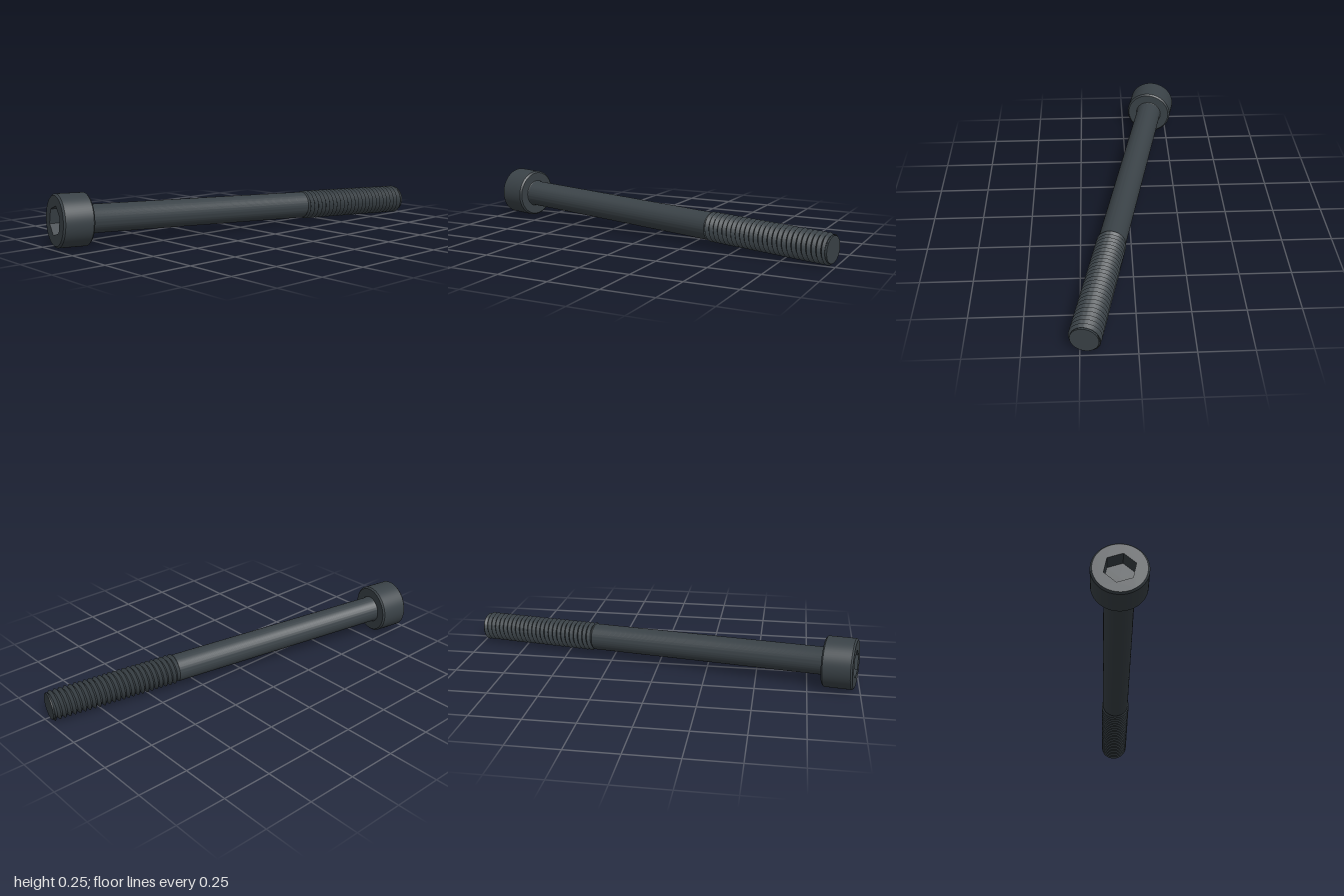
import * as THREE from 'three';
import { toCreasedNormals } from 'three/addons/utils/BufferGeometryUtils.js';

const LENGTH = 2.002;      // socket face to tip, along the bolt axis
const HEAD_R = 0.1235, HEAD_H = 0.148, BEVEL = 0.008;
const SHANK_R = 0.0675, THREAD_START = 1.353;
const CREST_R = 0.0735, ROOT_R = 0.0585, TIP_R = 0.0635, PITCH = 0.0247;
const HEX_R = 0.0713, HEX_DEPTH = 0.074;

// Turned part from [radius, height] pairs, with crisp edges
function turned(points) {
  const profile = points.map(([r, y]) => new THREE.Vector2(r, y));
  return toCreasedNormals(new THREE.LatheGeometry(profile, 72), 0.5);
}

// Right-handed V thread: a cylinder sheared into a helix, alternate rows in and out
function threadGeometry(start, end) {
  const turns = Math.ceil((end - start) / PITCH) + 1;
  const geo = new THREE.CylinderGeometry(1, 1, 1, 64, turns * 2, true);
  const pos = geo.attributes.position, uv = geo.attributes.uv;
  for (let i = 0; i < pos.count; i++) {
    const u = uv.getX(i), v = uv.getY(i);
    const y = THREE.MathUtils.clamp(start + (v * turns - 1 + u) * PITCH, start, end);
    const phase = (y - start) / PITCH - u;
    const wave = 2 * Math.abs(phase - Math.round(phase));
    const r = Math.min(ROOT_R + (CREST_R - ROOT_R) * wave,
      SHANK_R + (y - start),            // run-out at the shank
      TIP_R + (LENGTH - y));            // chamfer at the tip
    pos.setXYZ(i, pos.getX(i) * r, y, pos.getZ(i) * r);
  }
  return toCreasedNormals(geo, 0.6);
}

export function createModel() {
  const model = new THREE.Group();
  model.name = 'socketHeadBolt';
  const steel = new THREE.MeshStandardMaterial({ color: 0x3a4247, side: THREE.DoubleSide });
  steel.name = 'blackSteel';

  const bolt = new THREE.Group();
  bolt.name = 'bolt';
  const add = (name, geometry) => {
    const mesh = new THREE.Mesh(geometry, steel);
    mesh.name = name;
    bolt.add(mesh);
    return mesh;
  };

  // Head: bevelled side wall and bearing face
  add('head', turned([
    [HEAD_R - BEVEL, 0], [HEAD_R, BEVEL], [HEAD_R, HEAD_H - BEVEL],
    [HEAD_R - BEVEL, HEAD_H], [SHANK_R, HEAD_H],
  ]));

  // Socket face: disc with a hexagonal opening
  const disc = new THREE.Shape().absarc(0, 0, HEAD_R - BEVEL, 0, Math.PI * 2);
  const hex = [];
  for (let i = 0; i < 6; i++) {
    const a = i * Math.PI / 3;
    hex.push(new THREE.Vector2(Math.cos(a) * HEX_R, Math.sin(a) * HEX_R));
  }
  disc.holes.push(new THREE.Path(hex));
  add('socketFace', new THREE.ShapeGeometry(disc, 36).rotateX(Math.PI / 2));

  // Socket: six flat walls and a floor
  const walls = new THREE.CylinderGeometry(HEX_R, HEX_R, HEX_DEPTH, 6, 1, true, Math.PI / 2);
  walls.translate(0, HEX_DEPTH / 2, 0);
  add('socketWalls', toCreasedNormals(walls, 0.5));
  add('socketFloor', new THREE.CircleGeometry(HEX_R, 6).rotateX(Math.PI / 2))
    .position.y = HEX_DEPTH;

  // Plain shank with a small fillet under the head
  add('shank', turned([
    [0.071, HEAD_H], [0.0685, HEAD_H + 0.003], [SHANK_R, HEAD_H + 0.008],
    [SHANK_R, THREAD_START], [ROOT_R - 0.002, THREAD_START + 0.008],
  ]));

  // Threaded end and flat tip
  add('thread', threadGeometry(THREAD_START, LENGTH - 0.005));
  add('tip', turned([
    [ROOT_R - 0.001, LENGTH - 0.016], [TIP_R, LENGTH - 0.01],
    [TIP_R, LENGTH], [0, LENGTH],
  ]));

  // Lay the bolt down, resting on the head and the thread
  const axis = new THREE.Vector3(1.96, -0.053, 0.409).normalize();
  bolt.quaternion.setFromUnitVectors(new THREE.Vector3(0, 1, 0), axis);
  bolt.position.set(-0.975, 0.127, -0.179);
  model.add(bolt);
  return model;
}
